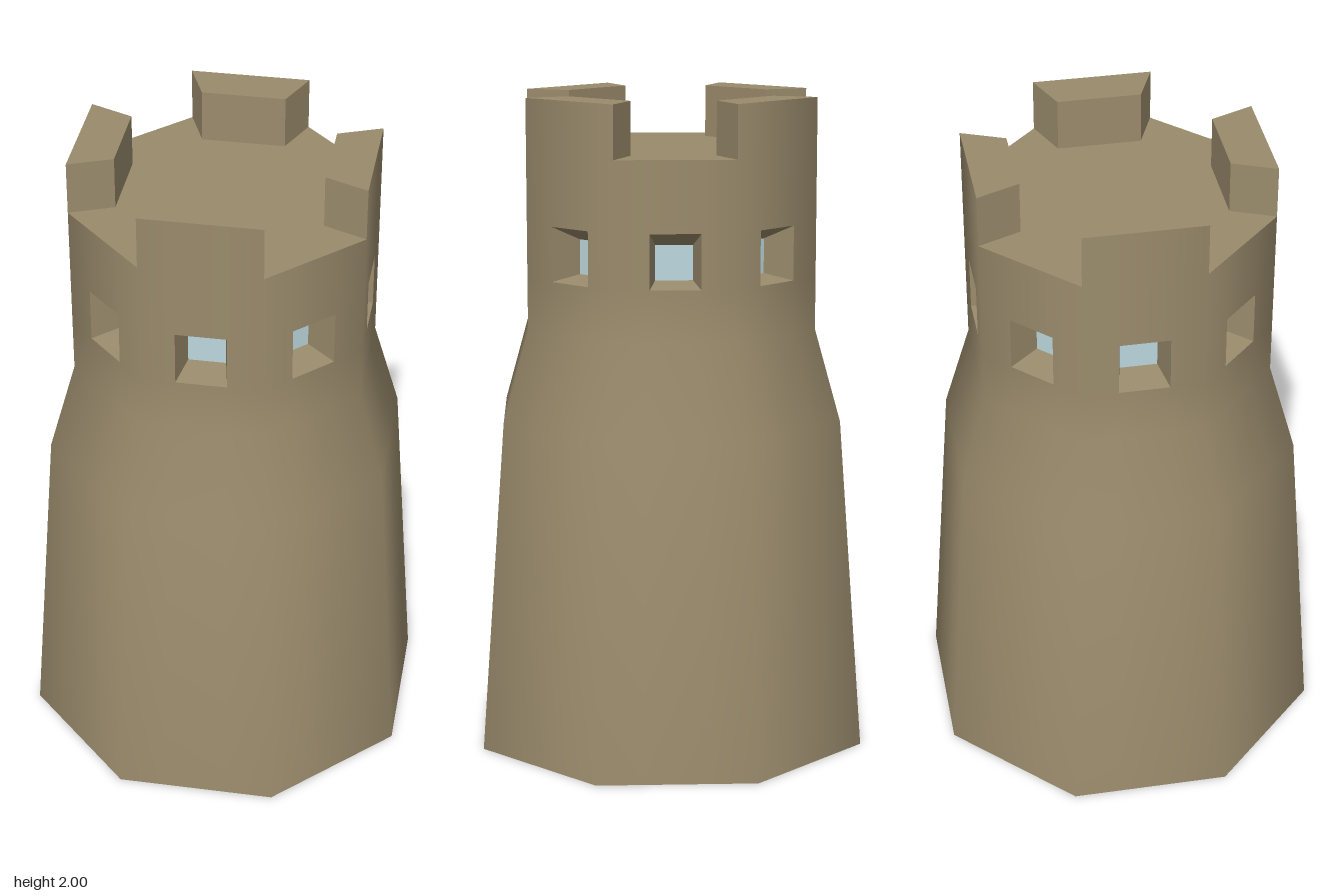
import * as THREE from 'three';

const SIDES = 8, STEP = Math.PI * 2 / SIDES;
const R = 0.47, INNER = 0.33, FLOOR = 1.84, TOP = 2;

// Tower outline: height, radius and upward tilt of the smooth normal
const profile = [
  [0, 0.633, 0.08], [1.02, 0.553, 0.18], [1.3, R, 0.14],
  [1.46, R, 0], [1.625, R, 0], [FLOOR, R, 0], [TOP, R, 0],
];
const splits = [0, 0.29, 0.71, 1]; // across one side; the middle holds the window

// Point on a flat side of the tower, t from 0 to 1 across it
function onSide(k, t, y, r) {
  const a = k * STEP, b = a + STEP;
  return new THREE.Vector3(Math.sin(a), 0, Math.cos(a))
    .lerp(new THREE.Vector3(Math.sin(b), 0, Math.cos(b)), t)
    .multiplyScalar(r).setY(y);
}

// Geometry from quads of four corners, with optional smooth normals
function quads(list, normals) {
  const pos = [], nor = [];
  list.forEach((q, i) => [0, 1, 2, 0, 2, 3].forEach((j) => {
    pos.push(...q[j].toArray());
    if (normals) nor.push(...normals[i][j].toArray());
  }));
  const g = new THREE.BufferGeometry();
  g.setAttribute('position', new THREE.Float32BufferAttribute(pos, 3));
  if (normals) g.setAttribute('normal', new THREE.Float32BufferAttribute(nor, 3));
  else g.computeVertexNormals();
  return g;
}

// Outer wall with window openings, rising on every second side
function wallGeometry() {
  const faces = [], normals = [];
  for (let k = 0; k < SIDES; k++) {
    for (let i = 0; i < profile.length - 1; i++) {
      if (i === 5 && k % 2 === 0) continue;
      for (let j = 0; j < 3; j++) {
        if (i === 3 && j === 1) continue;
        const corners = [[j, i], [j + 1, i], [j + 1, i + 1], [j, i + 1]];
        faces.push(corners.map(([c, p]) => onSide(k, splits[c], profile[p][0], profile[p][1])));
        normals.push(corners.map(([c, p]) => {
          const a = (k + splits[c]) * STEP;
          return new THREE.Vector3(Math.sin(a), profile[p][2], Math.cos(a)).normalize();
        }));
      }
    }
  }
  return quads(faces, normals);
}

// Tapered window recess in side 0: outer and inner rings of corners
function windowRings() {
  const inward = new THREE.Vector3(-Math.sin(STEP / 2), 0, -Math.cos(STEP / 2)).multiplyScalar(0.1);
  const ring = (t, y0, y1) => [[t, y0], [1 - t, y0], [1 - t, y1], [t, y1]]
    .map(([u, y]) => onSide(0, u, y, R));
  return [ring(splits[1], 1.46, 1.625), ring(0.345, 1.475, 1.58).map((p) => p.add(inward))];
}

// Top, back and ends of one merlon; its front belongs to the wall
function merlonGeometry() {
  const [a, b] = [0, 1].map((t) => onSide(0, t, FLOOR, R));
  const [d, c] = [0, 1].map((t) => onSide(0, t, FLOOR, INNER));
  const up = (p) => p.clone().setY(TOP);
  return quads([
    [up(a), up(b), up(c), up(d)],
    [c, d, up(d), up(c)],
    [d, a, up(a), up(d)],
    [b, c, up(c), up(b)],
  ]);
}

export function createModel() {
  const stone = new THREE.MeshStandardMaterial({ color: 0x9a8b6c, side: THREE.DoubleSide });
  stone.name = 'stone';
  const glass = new THREE.MeshStandardMaterial({ color: 0xbcd8de, side: THREE.DoubleSide });
  glass.name = 'glass';

  const tower = new THREE.Group();
  tower.name = 'tower';
  const add = (name, geometry, material, k = 0) => {
    const mesh = new THREE.Mesh(geometry, material);
    mesh.name = name;
    mesh.rotation.y = k * STEP;
    tower.add(mesh);
  };

  add('wall', wallGeometry(), stone);

  // Roof floor inside the battlements
  const floor = new THREE.CircleGeometry(R, SIDES).rotateX(-Math.PI / 2).translate(0, FLOOR, 0);
  add('roofFloor', floor, stone);

  // Windows on all sides, merlons on every second one
  const [outer, inner] = windowRings();
  const recess = quads(outer.map((p, i) => {
    const n = (i + 1) % 4;
    return [p, outer[n], inner[n], inner[i]];
  }));
  const pane = quads([inner]);
  const merlon = merlonGeometry();
  for (let k = 0; k < SIDES; k++) {
    add('windowRecess', recess, stone, k);
    add('windowPane', pane, glass, k);
    if (k % 2) add('merlon', merlon, stone, k);
  }
  return tower;
}
